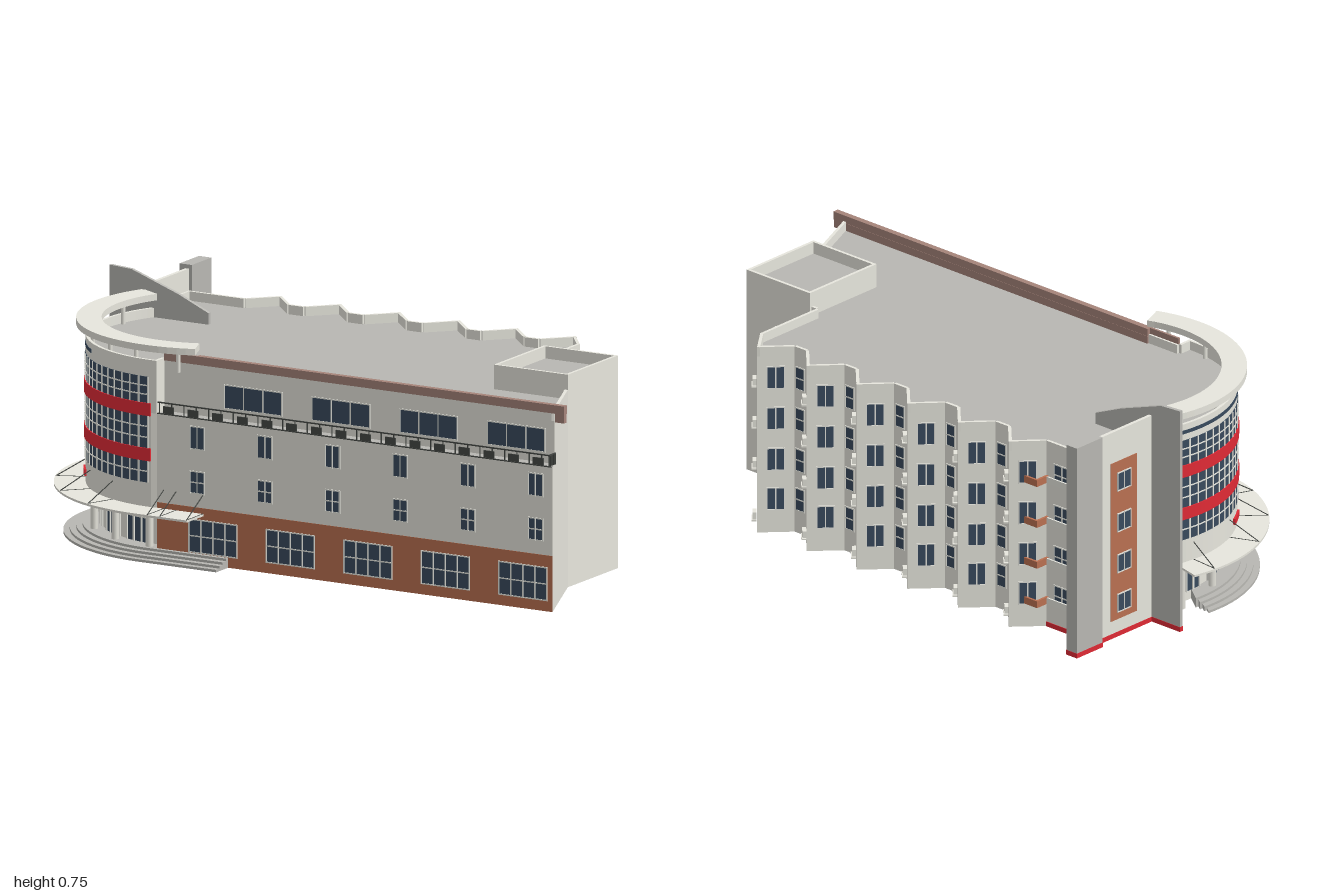
import * as THREE from 'three';

const mat = (name, color) => {
  const m = new THREE.MeshStandardMaterial({ color });
  m.name = name;
  return m;
};

export function createModel() {
  const cream = mat('cream render', 0xe7e6dd);
  const grey = mat('grey concrete', 0xb8b7b2);
  const brick = mat('brick brown', 0xba7051);
  const fasciaMat = mat('dull brown', 0xa5847a);
  const red = mat('red', 0xe02a35);
  const glass = mat('dark glass', 0x394a5d);
  const dark = mat('dark metal', 0x454845);
  const white = mat('white frame', 0xeeeee6);

  const model = new THREE.Group();
  model.name = 'building';
  const group = (name, parent = model) => {
    const g = new THREE.Group();
    g.name = name;
    parent.add(g);
    return g;
  };
  const add = (name, geo, m, parent = model) => {
    const mesh = new THREE.Mesh(geo, m);
    mesh.name = name;
    parent.add(mesh);
    return mesh;
  };
  // box given by its limits
  const box = (name, m, x0, x1, y0, y1, z0, z1, parent) => {
    const b = add(name, new THREE.BoxGeometry(x1 - x0, y1 - y0, z1 - z0), m, parent);
    b.position.set((x0 + x1) / 2, (y0 + y1) / 2, (z0 + z1) / 2);
    return b;
  };
  // vertical prism over a plan outline of [x, z] points
  const prism = (name, pts, y0, y1, m, parent) => {
    const shape = new THREE.Shape(pts.map(([x, z]) => new THREE.Vector2(x, -z)));
    const geo = new THREE.ExtrudeGeometry(shape, { depth: y1 - y0, bevelEnabled: false });
    geo.rotateX(-Math.PI / 2).translate(0, y0, 0);
    return add(name, geo, m, parent);
  };
  // thin straight bar between two points
  const bar = (name, a, b, r, m, parent) => {
    const p = new THREE.Vector3(...a), q = new THREE.Vector3(...b);
    const mesh = add(name, new THREE.CylinderGeometry(r, r, p.distanceTo(q), 6), m, parent);
    mesh.position.copy(p).add(q).multiplyScalar(0.5);
    mesh.quaternion.setFromUnitVectors(new THREE.Vector3(0, 1, 0), q.sub(p).normalize());
  };

  // round corner: angles in degrees, 0 faces the front, negative goes round to the right side
  const CX = -0.48, CZ = 0.03, BACK = -119;
  const polar = (r, deg) => {
    const a = deg * Math.PI / 180;
    return [CX + r * Math.sin(a), CZ + r * Math.cos(a)];
  };
  const arc = (r, a0, a1, n = 36) =>
    Array.from({ length: n + 1 }, (_, i) => polar(r, a0 + (a1 - a0) * i / n));
  const arcSlab = (name, r0, r1, a0, a1, y0, y1, m, parent) =>
    prism(name, [...arc(r1, a0, a1), ...arc(r0, a1, a0)], y0, y1, m, parent);

  // framed window: centre on the wall plane, outward normal (nx, nz)
  const windowAt = (x, y, z, nx, nz, w, h, cols, rows, parent) => {
    const g = group('window', parent);
    g.position.set(x, y, z);
    g.rotation.y = Math.atan2(nx, nz);
    box('pane', glass, -w / 2, w / 2, -h / 2, h / 2, -0.002, 0.0015, g);
    const t = 0.002;
    for (let i = 0; i <= cols; i++) {
      const c = -w / 2 + w * i / cols;
      box('mullion', white, c - t, c + t, -h / 2 - t, h / 2 + t, 0, 0.003, g);
    }
    for (let i = 0; i <= rows; i++) {
      const c = -h / 2 + h * i / rows;
      box('transom', white, -w / 2, w / 2, c - t, c + t, 0, 0.0027, g);
    }
    return g;
  };

  // plan outlines
  const peaks = [-0.58, -0.363, -0.147, 0.07, 0.282, 0.494];
  const HW = 0.082, ZB = -0.43, ZP = -0.515;
  const rear = [[0.85, 0.13], [0.84, 0.13], [0.84, -0.17], [0.56, -0.17], [0.56, ZB]];
  [...peaks].reverse().forEach(p =>
    rear.push([Math.min(p + HW, 0.559), ZB], [p, ZP], [p - HW, ZB]));
  rear.push([-0.87, ZB], [-0.87, -0.17]);
  const lower = [[-0.46, 0.445], [0.983, 0.445], ...rear];
  const upper = [...arc(0.42, BACK, 0), [-0.46, 0.45], [-0.46, 0.4], [0.964, 0.4], ...rear];

  // main storeys
  const walls = [grey, cream];
  prism('groundStorey', [...arc(0.37, BACK, 0), [-0.46, 0.4], ...lower], 0, 0.16, walls);
  prism('middleStoreys', [...arc(0.42, BACK, 0), ...lower], 0.16, 0.465, walls);
  prism('topStorey', upper, 0.465, 0.605, walls);

  // parapet round the roof
  const parapet = group('parapet');
  upper.forEach(([x0, z0], i) => {
    const [x1, z1] = upper[(i + 1) % upper.length];
    const dx = x1 - x0, dz = z1 - z0, len = Math.hypot(dx, dz), t = 0.01;
    const w = add('parapetWall', new THREE.BoxGeometry(len, 0.032, t), cream, parapet);
    w.position.set((x0 + x1) / 2 + dz / len * t / 2, 0.619, (z0 + z1) / 2 - dx / len * t / 2);
    w.rotation.y = Math.atan2(-dz, dx);
  });
  box('roofFascia', fasciaMat, -0.34, 1.0, 0.628, 0.655, 0.385, 0.405);
  box('fasciaStart', fasciaMat, -0.46, -0.34, 0.628, 0.655, 0.397, 0.405);
  box('fasciaBack', fasciaMat, -0.34, 0.955, 0.605, 0.63, 0.384, 0.392);
  box('fasciaEnd', fasciaMat, 0.968, 1.0, 0.6, 0.63, 0.388, 0.404);

  // stair tower
  const tower = group('stairTower');
  prism('towerBody', [[0.58, 0.13], [0.85, 0.13], [0.85, -0.178], [0.58, -0.178]], 0, 0.645, walls, tower);
  box('towerParapet', cream, 0.58, 0.85, 0.645, 0.684, 0.12, 0.13, tower);
  box('towerParapet', cream, 0.58, 0.85, 0.645, 0.684, -0.178, -0.168, tower);
  box('towerParapet', cream, 0.58, 0.59, 0.645, 0.684, -0.168, 0.12, tower);
  box('towerParapet', cream, 0.84, 0.85, 0.645, 0.684, -0.168, 0.12, tower);

  // front wall
  const front = group('frontWall');
  box('brickBase', brick, -0.46, 0.983, 0, 0.18, 0.4445, 0.4465, front);
  for (let i = 0; i < 5; i++)
    windowAt(-0.255 + i * 0.283, 0.088, 0.447, 0, 1, 0.175, 0.105, 4, 2, front);
  for (let i = 0; i < 6; i++) {
    const x = -0.313 + i * 0.247;
    windowAt(x, 0.403, 0.446, 0, 1, 0.052, 0.072, 2, 1, front);
    windowAt(x, 0.26, 0.446, 0, 1, 0.052, 0.07, 2, 2, front);
  }
  for (let i = 0; i < 4; i++)
    windowAt(-0.135 + i * 0.32, 0.537, 0.401, 0, 1, 0.21, 0.075, 3, 1, front);

  // balcony railing
  const railing = group('balconyRailing');
  box('topRail', dark, -0.46, 0.975, 0.499, 0.503, 0.44, 0.444, railing);
  box('bottomRail', dark, -0.46, 0.98, 0.464, 0.467, 0.44, 0.446, railing);
  for (let i = 0; i < 32; i++)
    box('baluster', dark, -0.4555 + i * 0.045, -0.4525 + i * 0.045, 0.465, 0.5, 0.44, 0.443, railing);
  for (let i = 0; i < 16; i++)
    box('railPanel', dark, -0.44 + i * 0.09, -0.402 + i * 0.09, 0.466, 0.49, 0.44, 0.444, railing);
  box('endRail', dark, 0.966, 0.969, 0.499, 0.503, 0.4, 0.444, railing);
  for (let i = 0; i < 5; i++)
    box('endBaluster', dark, 0.966, 0.969, 0.465, 0.5, 0.402 + i * 0.009, 0.404 + i * 0.009, railing);

  // curved glazed front
  const drum = group('roundCorner');
  [[0.24, 0.312, 1], [0.35, 0.456, 2], [0.495, 0.58, 2]].forEach(([y0, y1, rows]) => {
    arcSlab('curvedGlass', 0.415, 0.4215, BACK + 2, -1, y0, y1, glass, drum);
    for (let i = 1; i <= rows; i++) {
      const y = y0 + (y1 - y0) * i / (rows + 1);
      arcSlab('curvedTransom', 0.42, 0.4232, BACK + 2, -1, y - 0.002, y + 0.002, white, drum);
    }
    for (let i = 0; i <= 24; i++) {
      const a = BACK + 2.5 + i * 4.8;
      arcSlab('curvedMullion', 0.42, 0.4235, a - 0.35, a + 0.35, y0, y1, white, drum);
    }
  });
  arcSlab('redBand', 0.41, 0.4255, BACK + 1, 0, 0.31, 0.351, red, drum);
  arcSlab('redBand', 0.41, 0.4255, BACK + 1, 0, 0.455, 0.496, red, drum);
  arcSlab('topSlit', 0.415, 0.4215, BACK + 2, -42, 0.602, 0.614, glass, drum);
  arcSlab('redPlate', 0.42, 0.427, -62, -52, 0.19, 0.21, red, drum);

  // entrance glazing and columns
  const entrance = group('entrance');
  [[-112, -84], [-76, -49], [-40, -26], [-20, -5]].forEach(([a0, a1]) => {
    arcSlab('entranceGlass', 0.365, 0.373, a0, a1, 0.032, 0.145, glass, entrance);
    arcSlab('entranceTransom', 0.37, 0.376, a0, a1, 0.11, 0.114, white, entrance);
    const n = Math.round((a1 - a0) / 5);
    for (let i = 0; i <= n; i++) {
      const a = a0 + (a1 - a0) * i / n;
      arcSlab('entranceMullion', 0.37, 0.377, a - 0.4, a + 0.4, 0.032, 0.145, white, entrance);
    }
  });
  [-100, -80, -45, -23, -2].forEach(a => {
    const [x, z] = polar(0.405, a);
    bar('column', [x, 0, z], [x, 0.16, z], 0.012, cream, entrance);
  });
  for (let i = 0; i < 4; i++) {
    const r = 0.49 - 0.02 * i;
    prism('step', [...arc(r, -95, 0), [-0.2, CZ + r], [-0.2, 0.44], [-0.48, 0.3]], 0, 0.008 * (i + 1), grey, entrance);
  }

  // entrance canopy with tie rods
  const canopy = group('canopy');
  prism('canopySlab', [...arc(0.52, -104, 0), [-0.29, 0.55], [-0.29, 0.447], [-0.48, 0.447],
    ...arc(0.415, 0, -104)], 0.155, 0.162, cream, canopy);
  const rod = (x0, z0, x1, z1) => {
    bar('tieRod', [x0, 0.162, z0], [x1, 0.222, z1], 0.0016, dark, canopy);
    bar('canopyRib', [x0, 0.162, z0], [x1, 0.162, z1], 0.0016, dark, canopy);
  };
  [-95, -67, -44, -22].forEach(a => rod(...polar(0.518, a), ...polar(0.42, a)));
  [-0.435, -0.39, -0.292].forEach(x => rod(x, 0.548, x, 0.447));

  // roof ring on posts
  const ring = group('roofRing');
  arcSlab('ringSlab', 0.37, 0.45, -117, 21, 0.669, 0.69, cream, ring);
  [-100, -75, -52, -28, -10, 12].forEach(a => {
    const [x, z] = polar(0.4, a);
    bar('ringPost', [x, 0.6, z], [x, 0.67, z], 0.007, cream, ring);
  });

  // side fin, link wall and rear pier
  const fin = new THREE.Shape([[-1, 0], [-0.8, 0], [-0.8, 0.6], [-0.64, 0.6], [-0.64, 0.642],
    [-0.75, 0.69], [-0.92, 0.75], [-1, 0.755]].map(p => new THREE.Vector2(...p)));
  add('sideFin', new THREE.ExtrudeGeometry(fin, { depth: 0.012, bevelEnabled: false }), grey)
    .position.z = -0.18;
  box('finBase', red, -1.001, -0.87, 0, 0.016, -0.181, -0.167);
  box('linkWall', cream, -0.88, -0.868, 0, 0.705, -0.44, -0.18);
  box('linkWallBase', red, -0.881, -0.87, 0, 0.016, -0.44, -0.18);
  box('rearPier', grey, -0.902, -0.857, 0, 0.718, -0.549, -0.43);
  box('pierBase', red, -0.903, -0.856, 0, 0.016, -0.55, -0.43);
  box('rearBase', red, -0.86, -0.662, 0, 0.016, -0.432, -0.428);
  box('sideBrickPanel', brick, -0.882, -0.878, 0.06, 0.6, -0.37, -0.25);

  // rear bays: windows, ledges and balconies on each floor
  const back = group('rearBays');
  const ledge = (x, y, z, nx, nz, out) => {
    const g = group('ledge', back);
    g.position.set(x, y, z);
    g.rotation.y = Math.atan2(nx, nz);
    box('ledgeTray', cream, -0.022, 0.022, -0.014, -0.009, 0, out, g);
    box('ledgeUnit', cream, -0.016, 0.016, -0.009, 0.014, 0, out * 0.8, g);
  };
  const depth = ZB - ZP;
  [0.115, 0.25, 0.39, 0.53].forEach((y, f) => {
    peaks.forEach((p, i) => {
      windowAt(p - HW / 2, y, (ZB + ZP) / 2, -depth, -HW, 0.055, 0.075, 2, 1, back);
      if (i < 5) windowAt((p + peaks[i + 1]) / 2, y, ZB, 0, -1, 0.036, 0.075, 1, 2, back);
      ledge(p + HW / 2, [0.035, 0.212, 0.352, 0.493][f], (ZB + ZP) / 2, depth, -HW, 0.016);
    });
    ledge(0.71, [0.112, 0.245, 0.383, 0.515][f], -0.178, 0, -1, 0.007);
    windowAt(-0.765, y, ZB, 0, -1, 0.14, 0.07, 4, 2, back);
    windowAt(-0.882, y, -0.31, -1, 0, 0.06, 0.06, 2, 1, back);
    box('balconyRailBand', white, -0.855, -0.67, y - 0.035, y - 0.014, -0.438, -0.432, back);
    box('balconyFront', brick, -0.67, -0.61, y - 0.035, y - 0.012, -0.482, -0.474, back);
    box('balconySide', brick, -0.67, -0.662, y - 0.035, y - 0.012, -0.474, -0.43, back);
    box('balconyFloor', brick, -0.662, -0.61, y - 0.035, y - 0.03, -0.474, -0.43, back);
  });

  return model;
}
